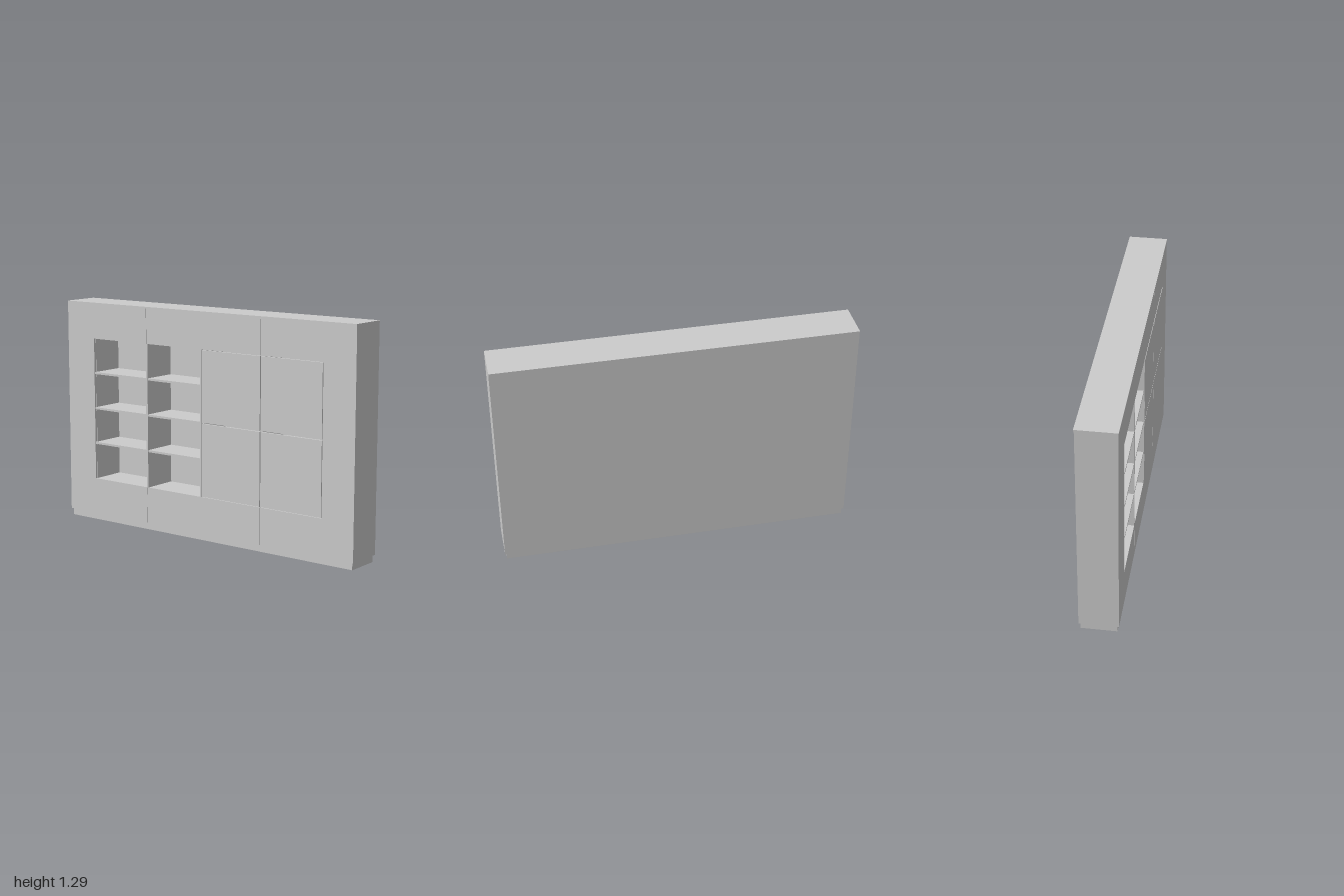
import * as THREE from 'three';

export function createModel() {
  const group = new THREE.Group();
  const material = new THREE.MeshStandardMaterial({ color: 0xcccccc });

  const add = (name, geometry) => {
    const mesh = new THREE.Mesh(geometry, material);
    mesh.name = name;
    group.add(mesh);
    return mesh;
  };
  // Box given by its two limits along each axis
  const box = (name, x0, x1, y0, y1, z0, z1) => {
    const mesh = add(name, new THREE.BoxGeometry(x1 - x0, y1 - y0, z1 - z0));
    mesh.position.set((x0 + x1) / 2, (y0 + y1) / 2, (z0 + z1) / 2);
    return mesh;
  };

  const base = 0.04, top = 1.28;            // body height
  const low = 0.25, high = 1.08, mid = 0.67; // front opening
  const back = -0.107, face = 0.109, board = 0.012, gap = 0.003;
  const inner = face - 0.012;               // rear of the front panels

  // Plinth, top slab and outer shell
  box('plinth', -0.99, 0.99, 0, base, -0.098, 0.1);
  box('topSlab', -1, 1, top, 1.29, -0.111, 0.111);
  box('backPanel', -1, 1, base, top, back, back + 0.01);
  box('floorPanel', -1, 1, base, base + board, back, inner);
  box('ceilingPanel', -1, 1, top - board, top, back, inner);
  for (const side of [-1, 1]) {
    const x = side * (1 - board / 2);
    box(side < 0 ? 'rightSide' : 'leftSide', x - board / 2, x + board / 2, base, top, back, inner);
  }

  // Full height uprights inside the shell
  for (const x of [-0.806, -0.006, 0.394, 0.794]) {
    box('upright', x, x + board, base, top, back, inner);
  }

  // C-shaped end fronts, mirrored left and right
  for (const s of [-1, 1]) {
    const a = 0.4 + gap / 2;
    const points = [[a, base], [1, base], [1, top], [a, top], [a, high], [0.8, high], [0.8, low], [a, low]];
    const shape = new THREE.Shape(points.map(([x, y]) => new THREE.Vector2(s * x, y)));
    const geometry = new THREE.ExtrudeGeometry(shape, { depth: face - inner, bevelEnabled: false });
    add(s < 0 ? 'rightFront' : 'leftFront', geometry).position.z = inner;
  }

  // Middle fronts above and below the opening
  box('lowerFront', -0.4 + gap / 2, 0.4 - gap / 2, base, low, inner, face);
  box('upperFront', -0.4 + gap / 2, 0.4 - gap / 2, high, top, inner, face);

  // Open shelving
  box('shelfSideRight', -0.8, -0.796, low, high, back + 0.01, face + 0.002);
  box('shelfSideLeft', -board, 0, low, high, back + 0.01, face + 0.002);
  box('shelfDivider', -0.404, -0.392, low, high, back + 0.01, face);
  box('shelfBottom', -0.8, 0, low - board, low, back + 0.01, inner);
  box('shelfTop', -0.8, 0, high, high + board, back + 0.01, inner);
  for (const y of [0.463, mid, 0.878]) {
    box('shelf', -0.8, 0, y - board / 2, y + board / 2, back + 0.01, face - 0.002);
  }

  // Two columns of flush doors
  for (const x of [0, 0.4]) {
    for (const [y0, y1] of [[low, mid], [mid, high]]) {
      box('door', x + gap, x + 0.4 - gap, y0 + gap, y1 - gap, inner, face + 0.002);
    }
  }

  return group;
}
